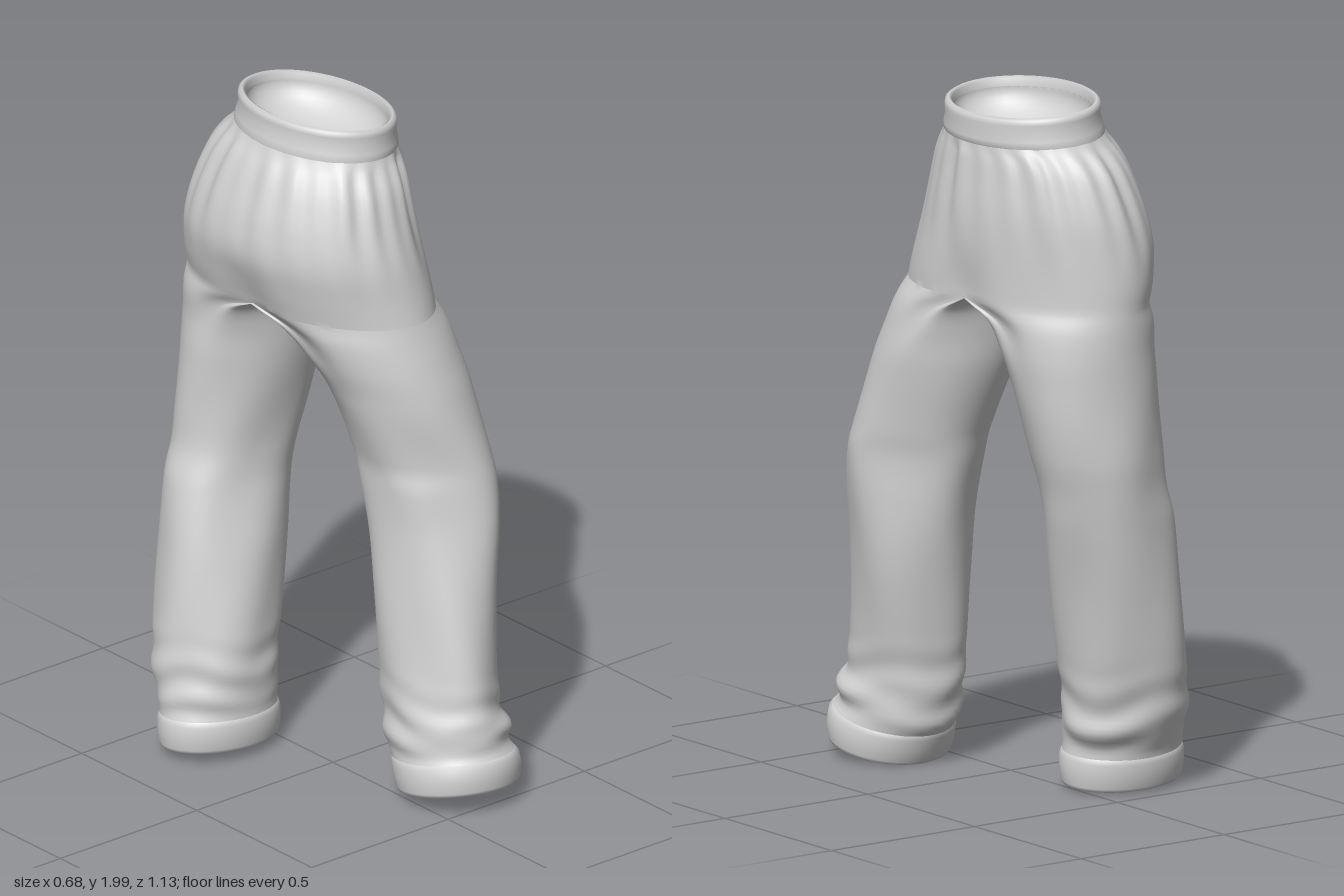
import * as THREE from 'three';
import { mergeGeometries, mergeVertices } from 'three/addons/utils/BufferGeometryUtils.js';

const N = 128; // points around each cross-section

// Cross-sections: [y, back x, front x, outer z, middle z, inner z]
const HIPS = [
  [2.0, -0.12, 0.25, 0.107, -0.145, -0.397],
  [1.95, -0.125, 0.255, 0.112, -0.145, -0.402],
  [1.9, -0.14, 0.258, 0.125, -0.145, -0.418],
  [1.86, -0.165, 0.262, 0.145, -0.145, -0.45],
  [1.8, -0.192, 0.267, 0.175, -0.145, -0.488],
  [1.7, -0.225, 0.277, 0.207, -0.145, -0.525],
  [1.6, -0.238, 0.282, 0.235, -0.145, -0.545],
  [1.5, -0.22, 0.285, 0.255, -0.14, -0.555],
  [1.43, -0.2, 0.285, 0.27, -0.14, -0.555],
];
const FORWARD_LEG = [
  [1.43, -0.2, 0.285, 0.27, -0.14, -0.14],
  [1.38, -0.17, 0.29, 0.285, -0.01, -0.131],
  [1.3, -0.125, 0.3, 0.31, 0.07, -0.11],
  [1.2, -0.07, 0.315, 0.338, 0.13, -0.08],
  [1.0, 0.0, 0.33, 0.38, 0.2, -0.005],
  [0.93, 0.01, 0.335, 0.395, 0.24, 0.012],
  [0.8, 0.012, 0.33, 0.42, 0.25, 0.04],
  [0.6, 0.0, 0.31, 0.452, 0.26, 0.073],
  [0.4, -0.01, 0.285, 0.487, 0.29, 0.105],
  [0.25, -0.02, 0.275, 0.515, 0.33, 0.135],
  [0.2, -0.03, 0.295, 0.535, 0.34, 0.145],
  [0.15, -0.025, 0.29, 0.53, 0.35, 0.16],
  [0.11, -0.033, 0.303, 0.55, 0.38, 0.185],
  [0.03, -0.035, 0.305, 0.555, 0.39, 0.215],
];
const REAR_LEG = [
  [1.43, -0.2, 0.285, -0.555, -0.14, -0.14],
  [1.38, -0.188, 0.272, -0.557, -0.27, -0.147],
  [1.3, -0.182, 0.255, -0.558, -0.33, -0.16],
  [1.2, -0.19, 0.23, -0.56, -0.36, -0.182],
  [1.0, -0.2, 0.19, -0.565, -0.39, -0.225],
  [0.9, -0.21, 0.165, -0.56, -0.4, -0.24],
  [0.8, -0.243, 0.145, -0.555, -0.4, -0.243],
  [0.6, -0.28, 0.1, -0.545, -0.375, -0.212],
  [0.4, -0.31, 0.06, -0.53, -0.355, -0.187],
  [0.25, -0.328, 0.035, -0.505, -0.34, -0.177],
  [0.2, -0.33, 0.04, -0.495, -0.33, -0.172],
  [0.15, -0.33, 0.025, -0.465, -0.32, -0.177],
  [0.11, -0.338, 0.028, -0.458, -0.31, -0.173],
  [0.02, -0.338, 0.025, -0.445, -0.31, -0.175],
];

const step = THREE.MathUtils.smoothstep;
const bump = (v, centre, width) => Math.exp(-(((v - centre) / width) ** 2));

// Smooth interpolation between neighbouring cross-sections
function sample(keys, y) {
  const last = keys.length - 1;
  let i = 0;
  while (i < last - 1 && y < keys[i + 1][0]) i++;
  const a = keys[i], b = keys[i + 1];
  const before = keys[Math.max(i - 1, 0)], after = keys[Math.min(i + 2, last)];
  const h = b[0] - a[0];
  const t = THREE.MathUtils.clamp((y - a[0]) / h, 0, 1);
  return a.map((v, k) => {
    const m0 = ((b[k] - before[k]) / (b[0] - before[0])) * h;
    const m1 = ((after[k] - v) / (after[0] - a[0])) * h;
    const t2 = t * t, t3 = t2 * t;
    return v * (2 * t3 - 3 * t2 + 1) + m0 * (t3 - 2 * t2 + t)
      + b[k] * (3 * t2 - 2 * t3) + m1 * (t3 - t2);
  });
}

// Cloth relief: gathers below the waistband, long leg folds, bunched ankles
function folds(a, y) {
  const gathers = step(y, 1.5, 1.84) * (1 - step(y, 1.86, 1.91))
    * (0.6 * Math.sin(22 * a) + 0.4 * Math.sin(15 * a + 1) + 0.35 * Math.sin(9 * a + 2));
  const leg = (1 - step(y, 0.9, 1.38)) * step(y, 0.12, 0.3)
    * (Math.sin(3 * a + 5 * y) + 0.7 * Math.sin(5 * a - 7 * y + 1));
  const ankle = (1 - step(y, 0.22, 0.42)) * step(y, 0.12, 0.18)
    * Math.sin(55 * y + 2 * Math.sin(a + 1) + Math.sin(3 * a));
  return 0.03 * gathers + 0.024 * leg + 0.03 * ankle;
}

// One ring of points at height y, grown outwards by `out`
function ring(keys, y, out, wrinkled) {
  const [, x0, x1, zOut, zMid, zIn] = sample(keys, y);
  const side = Math.sign(zOut - zIn);
  const xc = (x0 + x1) / 2, rx = (x1 - x0) / 2 + out;
  const points = [];
  for (let j = 0; j < N; j++) {
    const a = (j / N) * Math.PI * 2;
    const c = Math.cos(a), s = Math.sin(a);
    const scale = 1 + (wrinkled ? folds(a, y) : 0);
    const reach = s > 0 ? zOut - zMid + side * out : zMid - zIn + side * out;
    const z = zMid + reach * scale * s;
    // centre seam is drawn in around the crotch
    const seam = 0.025 * bump(s, 0, 0.25) * bump(y, 1.43, 0.13);
    let x = xc + (rx * scale - seam) * c;
    // hips turn towards the striding leg, its knee points outwards
    x += 0.09 * bump(y, 1.45, 0.2) * (z + 0.14);
    if (keys === FORWARD_LEG) x += 0.18 * bump(y, 0.93, 0.2) * (z - zMid);
    // waist dips at the front, hems tilt
    let py = y - 0.017 * (1 + c) * step(y, 1.8, 1.95);
    const hem = 1 - step(y, 0.1, 0.4);
    if (keys === FORWARD_LEG) py += hem * (0.2 * (z - 0.39) - 0.04 * (x - 0.14) + 0.015);
    if (keys === REAR_LEG) py += hem * (0.09 * (z + 0.31) - 0.04 * (x + 0.16));
    points.push(x, Math.max(py, 0), z);
  }
  return points;
}

// Skin a list of [y, out] rings
function loft(keys, rows, wrinkled) {
  const flip = keys === REAR_LEG;
  const index = [];
  for (let i = 0; i < rows.length - 1; i++) {
    for (let j = 0; j < N; j++) {
      const k = (j + 1) % N;
      const a = i * N + j, b = i * N + k, c = a + N, d = b + N;
      if (flip) index.push(a, c, b, b, c, d);
      else index.push(a, b, c, b, d, c);
    }
  }
  const g = new THREE.BufferGeometry();
  const pos = rows.flatMap(([y, out]) => ring(keys, y, out, wrinkled));
  g.setAttribute('position', new THREE.Float32BufferAttribute(pos, 3));
  g.setIndex(index);
  return g;
}

function evenRows(top, bottom, count) {
  return Array.from({ length: count + 1 }, (_, i) => [top + ((bottom - top) * i) / count, 0]);
}

export function createModel() {
  const cloth = new THREE.MeshStandardMaterial({ color: 0xd2d2d2, side: THREE.DoubleSide });
  cloth.name = 'light grey cloth';
  const group = new THREE.Group();
  group.name = 'trousers';
  const add = (name, geometry) => {
    const mesh = new THREE.Mesh(geometry, cloth);
    mesh.name = name;
    group.add(mesh);
    return mesh;
  };
  const addCloth = (name, geometry) => {
    geometry.computeVertexNormals();
    add(name, geometry);
  };
  // Half-dome closing an opening from within
  const addLining = (name, start, position, scale, tiltX, tiltZ) => {
    const dome = new THREE.SphereGeometry(1, 48, 12, 0, Math.PI * 2, start, Math.PI / 2);
    const mesh = add(name, dome);
    mesh.position.set(...position);
    mesh.scale.set(...scale);
    mesh.rotation.set(tiltX, 0, tiltZ);
  };

  // Hips and both legs, welded along the crotch
  addCloth('hipsAndLegs', mergeVertices(mergeGeometries([
    loft(HIPS, evenRows(1.91, 1.43, 26), true),
    loft(FORWARD_LEG, evenRows(1.43, 0.12, 90), true),
    loft(REAR_LEG, evenRows(1.43, 0.12, 90), true),
  ]), 1e-4));

  // Elastic waistband with a rolled rim
  addCloth('waistband', loft(HIPS, [[1.895, -0.008], [1.91, 0.002], [1.93, 0.004], [1.96, 0.002],
    [1.98, 0.007], [1.994, 0.005], [2.0, -0.004], [1.994, -0.014], [1.965, -0.018]]));
  addLining('waistLining', Math.PI / 2, [0.065, 1.956, -0.145], [0.171, 0.11, 0.237], 0, -0.09);

  // Turned hems
  for (const [name, keys] of [['forwardCuff', FORWARD_LEG], ['rearCuff', REAR_LEG]]) {
    addCloth(name, loft(keys, [[0.135, -0.01], [0.125, 0.0], [0.11, 0.005], [0.075, 0.007],
      [0.04, 0.004], [0.03, 0.0], [0.03, -0.008], [0.045, -0.014], [0.07, -0.016]]));
  }
  addLining('forwardCuffLining', 0, [0.135, 0.07, 0.386], [0.155, 0.05, 0.155], -0.2, -0.04);
  addLining('rearCuffLining', 0, [-0.156, 0.055, -0.311], [0.168, 0.05, 0.122], -0.09, -0.04);
  return group;
}
